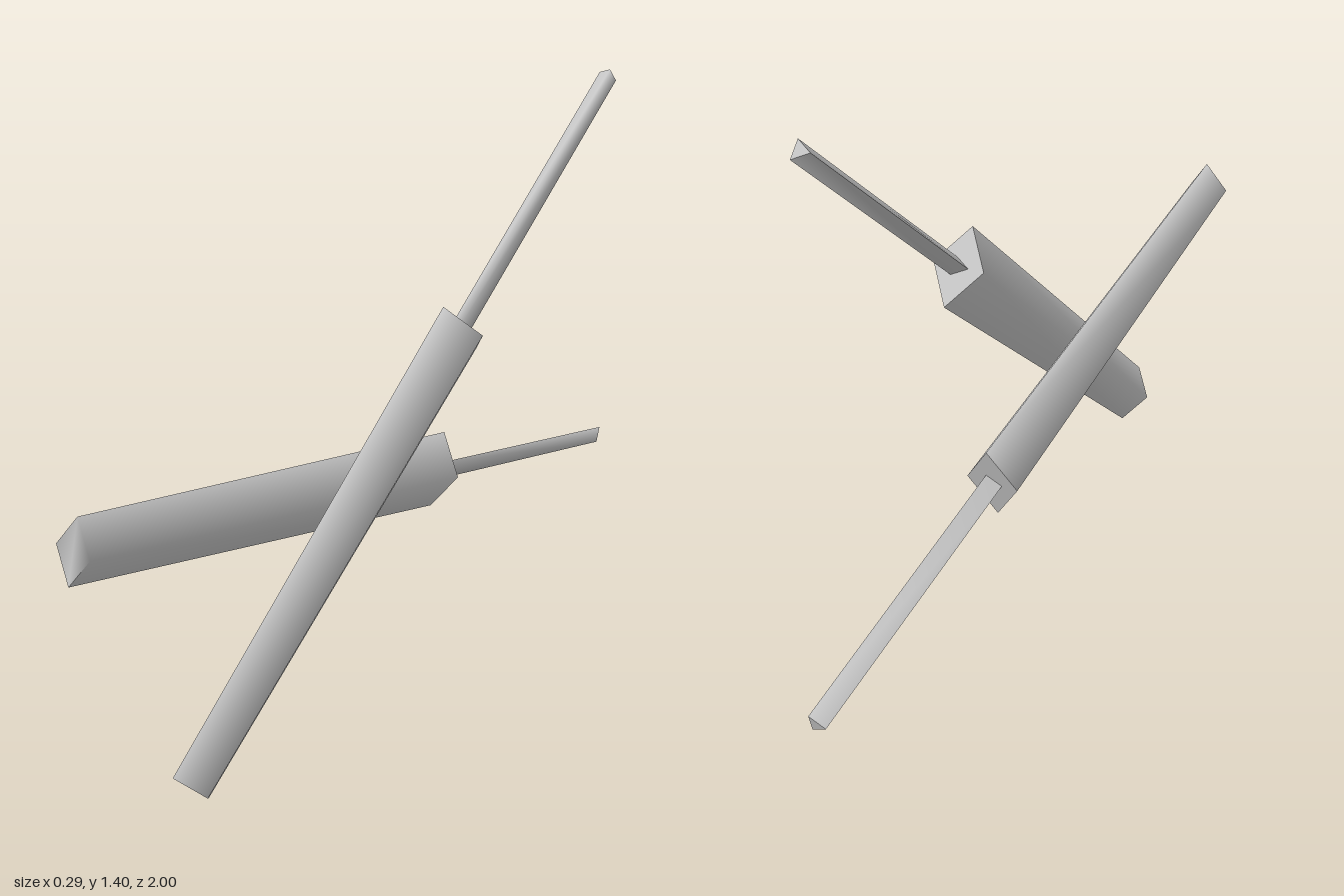
import * as THREE from 'three';

// Tapered prism along z: rings are counterclockwise seen from +z.
// The sides are smooth with a seam at the first corner; the front cap may blend into them.
function prism(ring, zBack, zFront, frontScale, blendFront) {
  const pos = [], idx = [], n = ring.length;
  const add = ([x, y], s, z) => pos.push(x * s, y * s, z) / 3 - 1;
  const back = [], front = [];
  for (let i = 0; i <= n; i++) {
    back.push(add(ring[i % n], 1, zBack));
    front.push(add(ring[i % n], frontScale, zFront));
  }
  for (let i = 0; i < n; i++) {
    idx.push(back[i], back[i + 1], front[i + 1], back[i], front[i + 1], front[i]);
  }
  const capBack = ring.map((p) => add(p, 1, zBack));
  const capFront = ring.map((p, i) => (blendFront && i > 0 ? front[i] : add(p, frontScale, zFront)));
  for (let i = 1; i < n - 1; i++) {
    idx.push(capBack[0], capBack[i + 1], capBack[i]);
    idx.push(capFront[0], capFront[i], capFront[i + 1]);
  }
  const g = new THREE.BufferGeometry();
  g.setAttribute('position', new THREE.Float32BufferAttribute(pos, 3));
  g.setIndex(idx);
  g.computeVertexNormals();
  return g;
}

export function createModel() {
  const model = new THREE.Group();
  model.name = 'crossedSticks';
  const grey = new THREE.MeshStandardMaterial({ color: 0xc4c4c4 });
  grey.name = 'light grey';

  // Diamond-section body and thin triangular stick
  const w = 0.07, h = 0.104, r = 0.027;
  const bodyGeo = prism([[0, -h], [w, 0], [0, h], [-w, 0]], 0, 1.267, 0.78, true);
  const stickGeo = prism([[-r, 0], [r / 2, -r * 0.866], [r / 2, r * 0.866]], -0.774, 0.02, 1, false);

  // Each piece is placed by the centre of the body's back end
  const place = (name, x, y, z, tilt) => {
    const piece = new THREE.Group();
    piece.name = name;
    const body = new THREE.Mesh(bodyGeo, grey);
    body.name = 'body';
    const stick = new THREE.Mesh(stickGeo, grey);
    stick.name = 'stick';
    piece.add(body, stick);
    piece.position.set(x, y, z);
    piece.rotation.x = tilt;
    model.add(piece);
  };
  place('leftPiece', 0.074, 0.882, -0.137, 0.702);
  place('rightPiece', -0.079, 0.382, -0.244, -0.263);
  return model;
}
